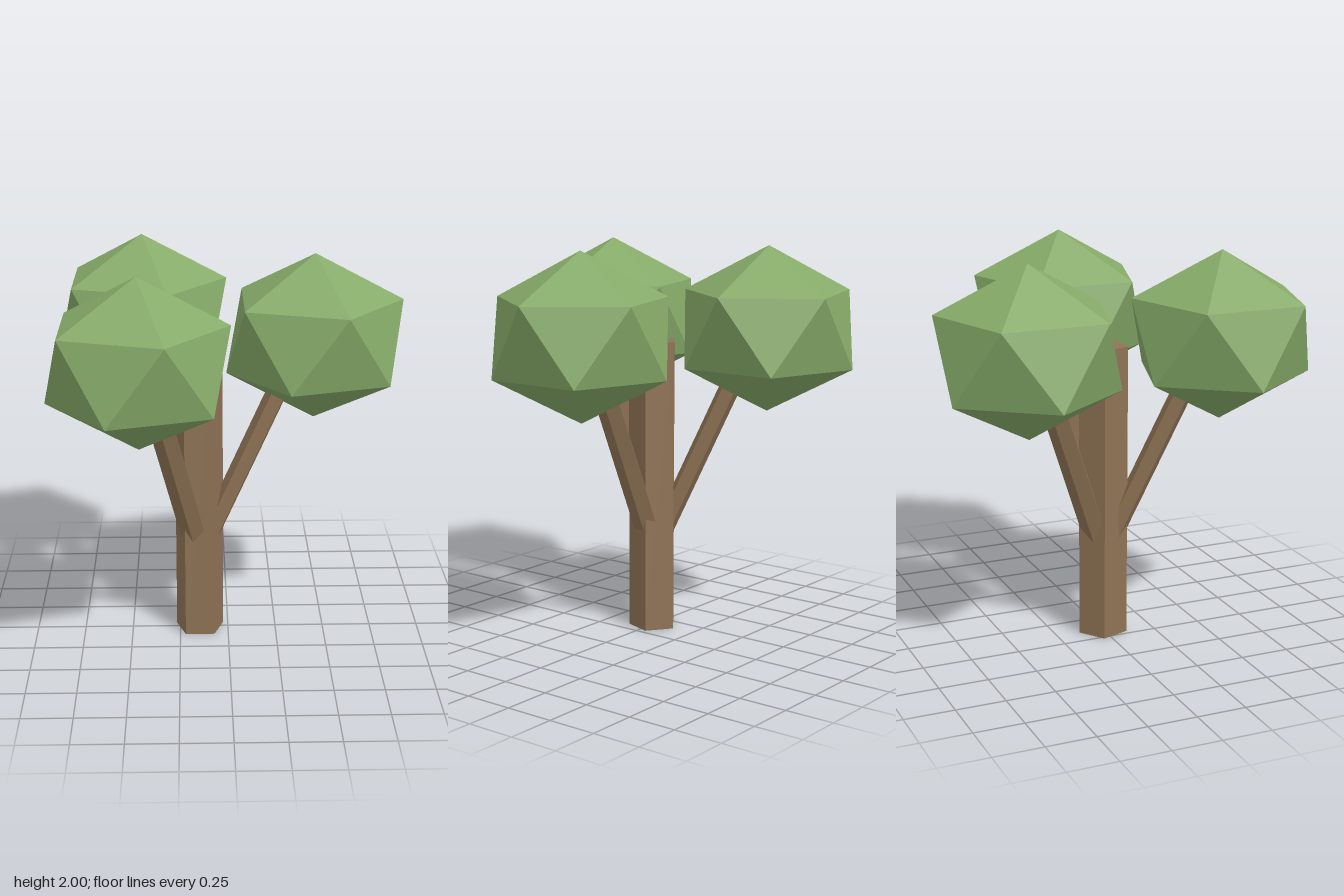
import * as THREE from 'three';

const TRUNK_X = -0.147;

// Twelve-cornered faceted crown: two pentagon rings between two poles
function crownGeometry(radius, height) {
  const ring = (y, turn) => Array.from({ length: 5 }, (_, i) => {
    const a = turn + (i * Math.PI * 2) / 5;
    return [radius * Math.cos(a), y, -radius * Math.sin(a)];
  });
  const y = height / Math.sqrt(5);
  const upper = ring(y, 0);
  const lower = ring(-y, Math.PI / 5);
  const top = [0, height, 0];
  const bottom = [0, -height, 0];
  const points = [];
  for (let i = 0; i < 5; i++) {
    const j = (i + 1) % 5;
    points.push(top, upper[i], upper[j]);
    points.push(upper[i], lower[i], upper[j]);
    points.push(upper[j], lower[i], lower[j]);
    points.push(bottom, lower[j], lower[i]);
  }
  const geometry = new THREE.BufferGeometry();
  geometry.setAttribute('position', new THREE.Float32BufferAttribute(points.flat(), 3));
  geometry.computeVertexNormals();
  return geometry;
}

// Five-sided post with one corner towards the back
function postGeometry(radius, height) {
  const geometry = new THREE.CylinderGeometry(radius, radius, height, 5);
  geometry.rotateY(Math.PI);
  const flat = geometry.toNonIndexed();
  flat.computeVertexNormals();
  return flat;
}

export function createModel() {
  const bark = new THREE.MeshStandardMaterial({ color: 0x8f7355 });
  const leaf = new THREE.MeshStandardMaterial({ color: 0x86ab69 });
  bark.name = 'bark';
  leaf.name = 'leaf';

  const tree = new THREE.Group();
  tree.name = 'tree';
  const add = (parent, name, geometry, material) => {
    const mesh = new THREE.Mesh(geometry, material);
    mesh.name = name;
    parent.add(mesh);
    return mesh;
  };

  // Trunk
  add(tree, 'trunk', postGeometry(0.128, 1.51), bark).position.set(TRUNK_X, 0.755, 0);

  // Leaning branch, running from inside the trunk into the crown
  const start = new THREE.Vector3(0.041, 0.5, 0);
  const end = new THREE.Vector3(0.491, 1.5, 0);
  const lean = Math.atan2(end.x - start.x, end.y - start.y);
  const branchGeometry = postGeometry(0.071, start.distanceTo(end));
  branchGeometry.scale(0.78, 1, 1);
  branchGeometry.computeVertexNormals();
  const leaves = crownGeometry(0.44, 0.42);

  // Three limbs spaced evenly around the trunk; every crown faces the same way
  ['left', 'rightFront', 'rightBack'].forEach((side, i) => {
    const turn = (-i * Math.PI * 2) / 3;
    const limb = new THREE.Group();
    limb.name = side + 'Limb';
    limb.position.x = TRUNK_X;
    limb.rotation.y = turn;
    tree.add(limb);

    const branch = add(limb, side + 'Branch', branchGeometry, bark);
    branch.position.copy(start).lerp(end, 0.5);
    branch.rotation.z = -lean;

    const crown = add(limb, side + 'Crown', leaves, leaf);
    crown.position.set(0.579, 1.58, 0);
    crown.rotation.y = -turn;
  });

  return tree;
}
